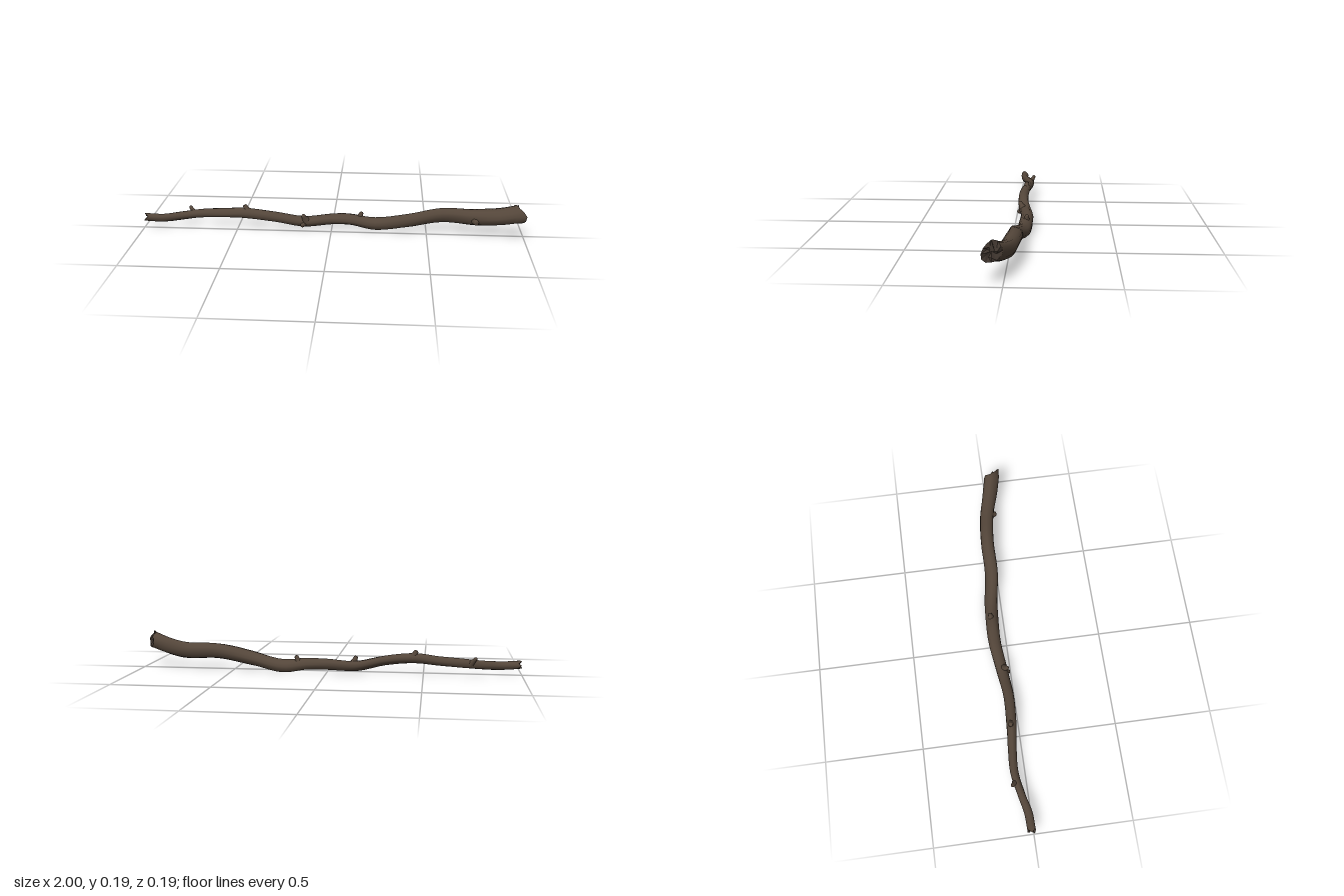
import * as THREE from 'three';

const SIDES = 12, STEPS = 90;
const bark = new THREE.MeshStandardMaterial({ color: 0x54463a, roughness: 1 });
const wood = new THREE.MeshStandardMaterial({ color: 0x40362f, roughness: 1, flatShading: true });

// Stations along the branch: x, y, z, radius
const stations = [
  [-0.985, 0.06, -0.01, 0.021], [-0.9, 0.056, -0.014, 0.021], [-0.8, 0.062, -0.038, 0.021],
  [-0.7, 0.07, -0.056, 0.022], [-0.58, 0.078, -0.05, 0.023], [-0.46, 0.087, -0.037, 0.026],
  [-0.3, 0.072, -0.028, 0.026], [-0.15, 0.043, -0.045, 0.028], [0, 0.052, -0.062, 0.03],
  [0.1, 0.052, -0.063, 0.032], [0.23, 0.036, -0.053, 0.034], [0.4, 0.069, -0.027, 0.036],
  [0.58, 0.105, -0.028, 0.037], [0.75, 0.103, -0.008, 0.04], [0.86, 0.118, 0.02, 0.042],
  [0.965, 0.148, 0.047, 0.044],
];
const path = new THREE.CatmullRomCurve3(stations.map(([x, y, z]) => new THREE.Vector3(x, y, z)));

function radiusAt(x) {
  let i = 1;
  while (i < stations.length - 1 && stations[i][0] < x) i++;
  const a = stations[i - 1], b = stations[i];
  return THREE.MathUtils.mapLinear(x, a[0], b[0], a[3], b[3]);
}

// Uneven splinter lengths around the broken ends
const thickTeeth = [-0.015, 0.0, 0.02, 0.035, 0.03, 0.025, 0.012, 0.0, -0.012, -0.02, -0.01, -0.025];
const thinTeeth = [-0.014, -0.004, 0.008, 0.0, -0.012, -0.015, 0.0, 0.012, 0.0, -0.01, 0.004, -0.006];

// One point of the bark: long, slowly twisting ridges on a round section
function barkPoint(step, side) {
  const t = step / STEPS, p = path.getPoint(t);
  const a = (side / SIDES) * Math.PI * 2;
  const ridge = 1 + 0.07 * Math.sin(2 * a + 9 * t) + 0.05 * Math.sin(3 * a - 17 * t)
    + 0.03 * Math.sin(5 * a + 40 * t);
  const r = radiusAt(p.x) * ridge;
  const q = new THREE.Vector3(p.x, p.y + Math.cos(a) * r, p.z + Math.sin(a) * r);
  if (step === STEPS) q.x += thickTeeth[side % SIDES];
  if (step === 0) q.x += thinTeeth[side % SIDES];
  return q;
}

function makeGeometry(points, index) {
  const g = new THREE.BufferGeometry().setFromPoints(points);
  g.setIndex(index);
  g.computeVertexNormals();
  return g;
}

function branchGeometry() {
  const points = [], index = [];
  for (let i = 0; i <= STEPS; i++) {
    for (let j = 0; j < SIDES; j++) {
      points.push(barkPoint(i, j));
      if (i === STEPS) continue;
      const k = (j + 1) % SIDES, a = i * SIDES + j, b = i * SIDES + k;
      index.push(a, b, a + SIDES, b, b + SIDES, a + SIDES);
    }
  }
  return makeGeometry(points, index);
}

// Broken face: rim, an uneven inner ring and a sunken middle
function endGeometry(step, dir) {
  const points = [], index = [], c = path.getPoint(step / STEPS);
  for (let j = 0; j < SIDES; j++) points.push(barkPoint(step, j));
  for (let j = 0; j < SIDES; j++) {
    const p = points[j].clone().lerp(c, 0.45);
    p.x += dir * 0.006 * Math.sin(j * 2.3);
    points.push(p);
  }
  points.push(c.clone().setX(c.x - dir * 0.004));
  for (let j = 0; j < SIDES; j++) {
    const k = (j + 1) % SIDES;
    const tris = [[j, k, SIDES + j], [k, SIDES + k, SIDES + j], [SIDES + j, SIDES + k, 2 * SIDES]];
    for (const [a, b, d] of tris) index.push(...(dir > 0 ? [a, b, d] : [a, d, b]));
  }
  return makeGeometry(points, index);
}

// Snapped twig: flared foot, worn tip
function twigStub(base, dir, radius, length) {
  const profile = [[1.7, -0.3], [1.35, 0.1], [1, 0.45], [0.85, 0.85], [0.55, 1], [0, 0.95]]
    .map(([r, h]) => new THREE.Vector2(r * radius, h * length));
  const mesh = new THREE.Mesh(new THREE.LatheGeometry(profile, 8), bark);
  mesh.position.set(...base);
  mesh.quaternion.setFromUnitVectors(new THREE.Vector3(0, 1, 0), new THREE.Vector3(...dir).normalize());
  return mesh;
}

export function createModel() {
  const group = new THREE.Group();
  group.name = 'branch';
  const add = (mesh, name) => { mesh.name = name; group.add(mesh); };

  add(new THREE.Mesh(branchGeometry(), bark), 'bark');
  add(new THREE.Mesh(endGeometry(STEPS, 1), wood), 'thickBrokenEnd');
  add(new THREE.Mesh(endGeometry(0, -1), wood), 'thinBrokenEnd');

  // Upright splinter on the thick end
  const splinter = new THREE.Mesh(new THREE.ConeGeometry(0.018, 0.05, 5), wood);
  splinter.position.set(0.955, 0.175, 0.05);
  splinter.rotation.z = -0.15;
  add(splinter, 'splinter');

  // Base, direction, radius, length
  const stubs = [
    [[-0.745, 0.075, -0.06], [-0.55, 0.7, -0.45], 0.011, 0.038],
    [[-0.45, 0.1, -0.04], [-0.5, 1, -0.1], 0.014, 0.032],
    [[-0.14, 0.06, -0.03], [-0.35, 0.9, 0.45], 0.013, 0.034],
    [[-0.15, 0.035, -0.025], [-0.3, -0.2, 1], 0.012, 0.022],
    [[0.15, 0.07, -0.065], [0.35, 1, -0.1], 0.012, 0.026],
    [[0.75, 0.09, 0.02], [0.2, -0.2, 1], 0.015, 0.024],
  ];
  stubs.forEach((s, i) => add(twigStub(...s), `twigStub${i + 1}`));
  return group;
}
